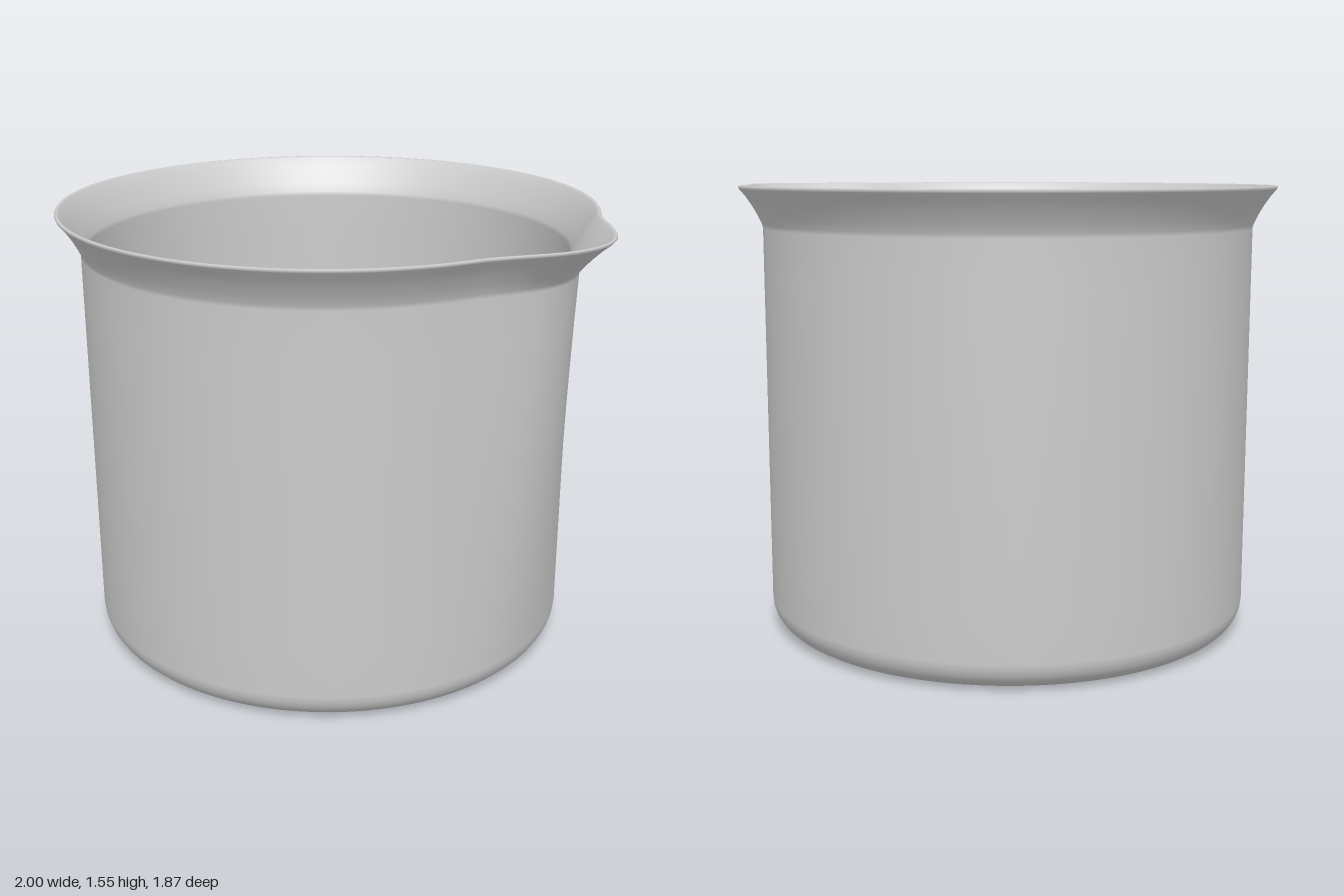
import * as THREE from 'three';
import { mergeVertices } from 'three/addons/utils/BufferGeometryUtils.js';

const CENTRE_X = -0.065; // the spout shifts the round body off centre

// Radial bulge of the pouring spout (facing +x), growing with height
function spoutBulge(angle, y) {
  const halfWidth = THREE.MathUtils.degToRad(26);
  const a = Math.abs(angle);
  if (a >= halfWidth) return 0;
  const wall = 0.08 * THREE.MathUtils.clamp((y - 0.1) / 1.32, 0, 1);
  const flare = 0.05 * THREE.MathUtils.clamp((y - 1.42) / 0.13, 0, 1);
  return (wall + flare) * (0.5 + 0.5 * Math.cos((Math.PI * a) / halfWidth));
}

// Quarter-round corner between a floor and a wall
function corner(cx, cy, radius, from, to) {
  return Array.from({ length: 8 }, (_, i) => {
    const t = from + ((to - from) * i) / 7;
    return [cx + radius * Math.cos(t), cy + radius * Math.sin(t)];
  });
}

// Outer wall and inner wall between floor and flare
const wallRings = (r, y0, y1) =>
  Array.from({ length: 7 }, (_, i) => [r, y0 + ((y1 - y0) * (i + 1)) / 8]);

function cupProfile() {
  const radii = [0, 0.01, 0.04, 0.09, 0.15, 0.23, 0.32, 0.42, 0.52, 0.62, 0.7];
  const underside = radii.map((r) => [r, 0.13 * (1 - r / 0.755) ** 2]);
  const floor = radii.map((r) => [r, 0.07 + 0.08 * (1 - Math.exp(-r / 0.2))]).reverse();
  return [
    ...underside,
    ...corner(0.755, 0.1, 0.1, -Math.PI / 2, 0),
    ...wallRings(0.855, 0.1, 1.41),
    // flared lip with a thin rounded edge
    [0.855, 1.41], [0.858, 1.425], [0.872, 1.455], [0.892, 1.49], [0.914, 1.522],
    [0.932, 1.543], [0.935, 1.55], [0.932, 1.555], [0.925, 1.555], [0.92, 1.55],
    [0.9, 1.525], [0.878, 1.49], [0.858, 1.455], [0.843, 1.425], [0.84, 1.41],
    ...wallRings(0.84, 1.41, 0.22),
    ...corner(0.77, 0.219, 0.07, 0, -Math.PI / 2),
    ...floor,
  ].map(([r, y]) => new THREE.Vector2(r, y));
}

export function createModel() {
  const group = new THREE.Group();
  group.name = 'pouringCup';

  // Turned cup with its wall pulled out into a spout
  let geometry = new THREE.LatheGeometry(cupProfile(), 144, -Math.PI / 2);
  const pos = geometry.attributes.position;
  for (let i = 0; i < pos.count; i++) {
    const x = pos.getX(i), y = pos.getY(i), z = pos.getZ(i);
    const r = Math.hypot(x, z);
    if (r < 0.8) continue;
    const k = 1 + spoutBulge(Math.atan2(z, x), y) / r;
    pos.setXYZ(i, x * k, y, z * k);
  }
  // Weld the seam for continuous smooth shading
  geometry.deleteAttribute('uv');
  geometry.deleteAttribute('normal');
  geometry = mergeVertices(geometry, 1e-5);
  geometry.computeVertexNormals();

  const cup = new THREE.Mesh(
    geometry,
    new THREE.MeshStandardMaterial({ color: 0xcccccc, side: THREE.DoubleSide })
  );
  cup.name = 'cupBodyWithSpout';
  cup.position.x = CENTRE_X;
  group.add(cup);
  return group;
}
